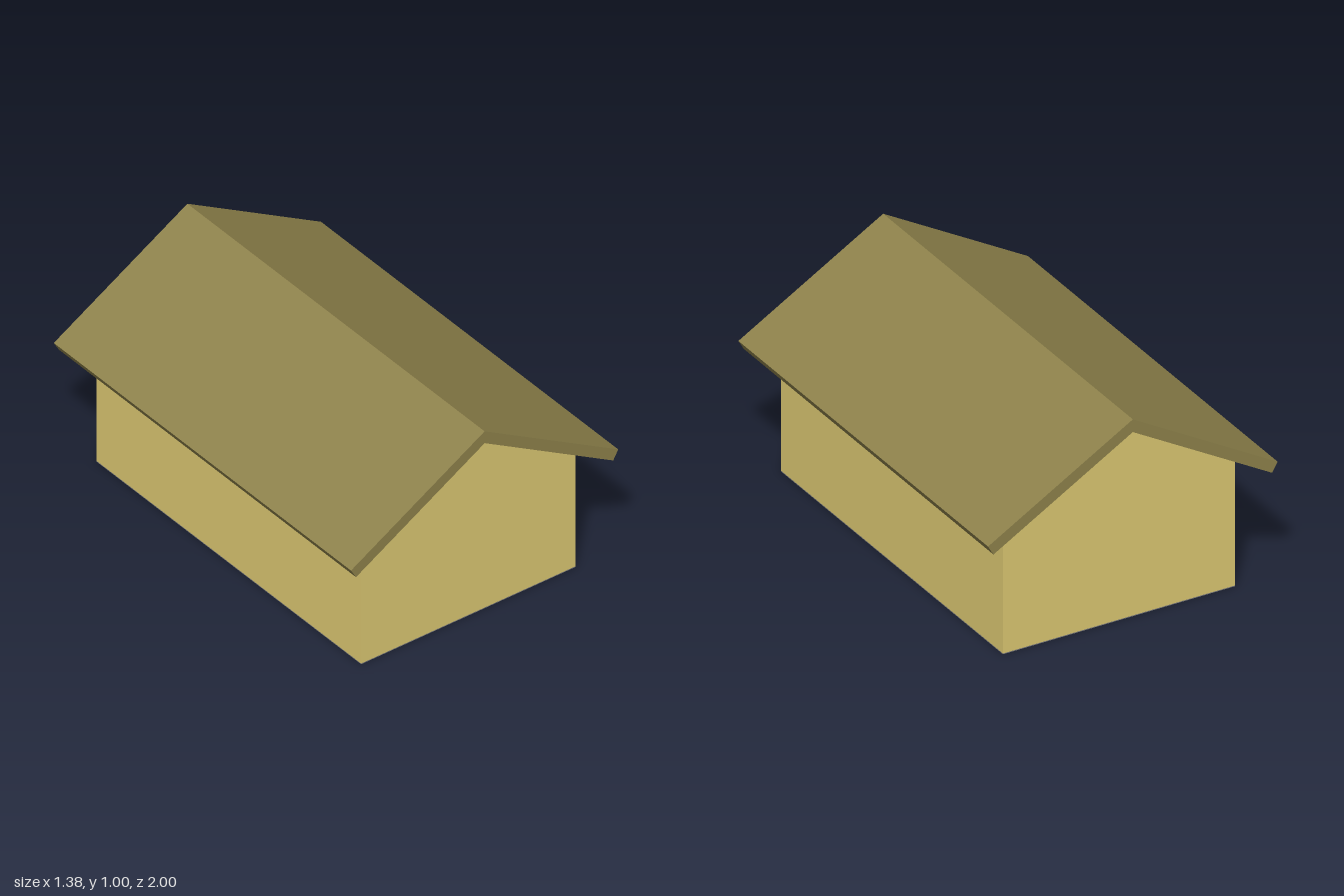
import * as THREE from 'three';

const wallColor = 0xdcc872, roofColor = 0x8e824b, floorColor = 0x7d7d7d;

// Extrudes an outline in the xy plane to the given length, centred on z = 0
function prism(name, points, length, color) {
  const shape = new THREE.Shape(points.map(([x, y]) => new THREE.Vector2(x, y)));
  const geometry = new THREE.ExtrudeGeometry(shape, { depth: length, bevelEnabled: false });
  geometry.translate(0, 0, -length / 2);
  const mesh = new THREE.Mesh(geometry, new THREE.MeshStandardMaterial({ color, flatShading: true }));
  mesh.name = name;
  return mesh;
}

export function createModel() {
  const house = new THREE.Group();
  house.name = 'house';

  const halfWidth = 0.555, wallLength = 1.78, floorTop = 0.004;
  const slope = Math.tan(Math.PI / 6);
  const roofHalf = 0.692, thickness = 0.052;
  const innerApex = 1 - thickness / Math.cos(Math.PI / 6);
  const eave = innerApex - halfWidth * slope;

  // Walls with gable ends
  house.add(prism('walls', [
    [-halfWidth, floorTop], [halfWidth, floorTop], [halfWidth, eave],
    [0, innerApex], [-halfWidth, eave],
  ], wallLength, wallColor));

  // Thin floor under the walls
  const floor = new THREE.Mesh(
    new THREE.BoxGeometry(halfWidth * 2, floorTop, wallLength),
    new THREE.MeshStandardMaterial({ color: floorColor }));
  floor.position.y = floorTop / 2;
  floor.name = 'floor';
  house.add(floor);

  // Two sloping roof panels meeting at the ridge, eave ends cut square
  const outerY = 1 - roofHalf * slope;
  const lowX = roofHalf - thickness * 0.5, lowY = outerY - thickness * Math.cos(Math.PI / 6);
  house.add(prism('leftRoof', [
    [0, innerApex], [lowX, lowY], [roofHalf, outerY], [0, 1],
  ], 2, roofColor));
  house.add(prism('rightRoof', [
    [0, 1], [-roofHalf, outerY], [-lowX, lowY], [0, innerApex],
  ], 2, roofColor));

  return house;
}
